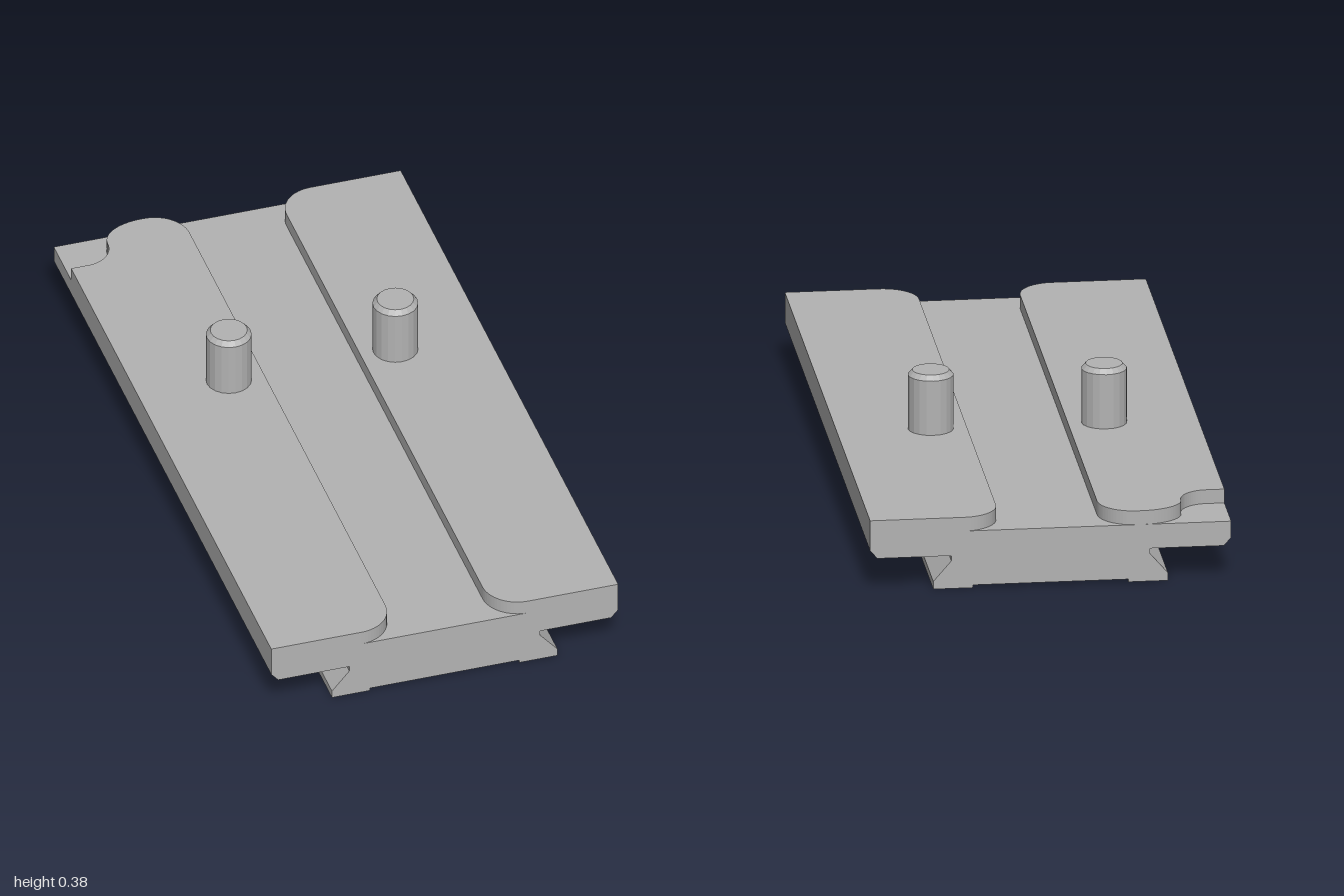
import * as THREE from 'three';

const PIN_X = 0.24, PIN_Z = -0.22, BORE_R = 0.14;
const BASE = 0.095, FLOOR = 0.165, TOP = 0.205, RELIEF = 0.008;

const mirror = (pts) => pts.map(([x, y]) => [-x, y]).reverse();

function polygon(pts) {
  return new THREE.Shape(pts.map(([x, y]) => new THREE.Vector2(x, y)));
}

// Extrude an xy profile between two z positions
function bar(pts, z0, z1) {
  const geo = new THREE.ExtrudeGeometry(polygon(pts), { depth: z1 - z0, bevelEnabled: false });
  return geo.translate(0, 0, z0);
}

// Skin joining counterclockwise sections of equal length, z increasing
function loft(sections) {
  const pos = [];
  for (let k = 0; k < sections.length - 1; k++) {
    const A = sections[k], B = sections[k + 1], n = A.pts.length;
    for (let i = 0; i < n; i++) {
      const j = (i + 1) % n;
      const a = [...A.pts[i], A.z], b = [...A.pts[j], A.z];
      const c = [...B.pts[j], B.z], d = [...B.pts[i], B.z];
      pos.push(...a, ...b, ...c, ...a, ...c, ...d);
    }
  }
  const geo = new THREE.BufferGeometry();
  geo.setAttribute('position', new THREE.Float32BufferAttribute(pos, 3));
  geo.computeVertexNormals();
  return geo;
}

// Dovetail between the round side notches, at bore angle a
function webSection(a) {
  const c = PIN_X - BORE_R * Math.sin(a);
  const m = Math.min(c, 0.215), b = c > 0.215 ? 0 : RELIEF;
  const half = [[m, RELIEF], [m, b], [c, b], [c, BASE]];
  return { z: PIN_Z + BORE_R * Math.cos(a), pts: [...half, ...mirror(half)] };
}

// Remaining dovetail lip outside a notch, at bore angle a
function lipSection(a, side) {
  const o = Math.min(PIN_X + BORE_R * Math.sin(a), 0.325);
  const top = o <= 0.275 ? BASE : 0.08 - (o - 0.275) / 0.05 * 0.058;
  const pts = [[o, 0], [0.325, 0], [0.325, 0.022], [0.275, 0.08], [0.275, BASE], [o, BASE]]
    .map(([x, y]) => [Math.max(x, o), Math.min(y, top)]);
  return { z: PIN_Z + BORE_R * Math.cos(a), pts: side > 0 ? pts : mirror(pts) };
}

// Rail outline in plan (shape y is -z), drawn for the -x side
function railShape(side, notched) {
  const s = new THREE.Shape();
  s.moveTo(-0.5, -1);
  s.lineTo(-0.24, -1);
  s.absarc(-0.24, -0.9, 0.1, -Math.PI / 2, 0, false);
  s.lineTo(-0.14, 0.9);
  s.absarc(-0.24, 0.9, 0.1, 0, Math.PI / 2, false);
  if (notched) {
    s.absellipse(-0.25, 0.92, 0.12, 0.08, Math.PI / 2, Math.PI, false);
    s.absellipse(-0.45, 0.92, 0.08, 0.08, 0, -Math.PI / 2, true);
    s.lineTo(-0.5, 0.84);
  } else {
    s.lineTo(-0.5, 1);
  }
  const pts = s.getPoints(8).map((p) => [p.x, p.y]);
  return polygon(side < 0 ? pts : mirror(pts));
}

export function createModel() {
  const model = new THREE.Group();
  const grey = new THREE.MeshStandardMaterial({ color: 0xb3b3b3, flatShading: true });
  grey.name = 'grey metal';
  const add = (name, geo) => {
    const mesh = new THREE.Mesh(geo, grey);
    mesh.name = name;
    model.add(mesh);
    return mesh;
  };

  // Main plate with chamfered lower edges
  const plateHalf = [[0.48, BASE], [0.5, 0.118], [0.5, FLOOR]];
  add('plate', bar([...plateHalf, ...mirror(plateHalf)], -1, 1));

  // Dovetail, interrupted by a cross slot and the round notches
  const tailHalf = [[0.215, RELIEF], [0.215, 0], [0.325, 0], [0.325, 0.022], [0.275, 0.08], [0.275, BASE]];
  const tail = [...tailHalf, ...mirror(tailHalf)];
  add('frontDovetail', bar(tail, 0.285, 1));
  add('middleDovetail', bar(tail, PIN_Z + BORE_R, 0.11));
  add('rearDovetail', bar(tail, -1, PIN_Z - BORE_R));

  const step = Math.PI / 24;
  const angles = Array.from({ length: 25 }, (_, i) => Math.PI - i * step);
  add('dovetailWeb', loft(angles.map(webSection)));

  for (const side of [-1, 1]) {
    const label = side > 0 ? 'left' : 'right';
    add(label + 'RearLip', loft(angles.slice(0, 6).map((a) => lipSection(a, side))));
    add(label + 'FrontLip', loft(angles.slice(-6).map((a) => lipSection(a, side))));

    // Raised rail beside the channel
    const rail = new THREE.ExtrudeGeometry(railShape(side, side < 0), { depth: TOP - FLOOR, bevelEnabled: false });
    rail.rotateX(-Math.PI / 2).translate(0, FLOOR, 0);
    add(label + 'Rail', rail);

    // Upright pin with a chamfered tip
    const profile = [[0.063, FLOOR], [0.063, 0.362], [0.051, 0.376], [0, 0.376]]
      .map(([r, y]) => new THREE.Vector2(r, y));
    add(label + 'Pin', new THREE.LatheGeometry(profile, 20)).position.set(side * PIN_X, 0, PIN_Z);
  }
  return model;
}
